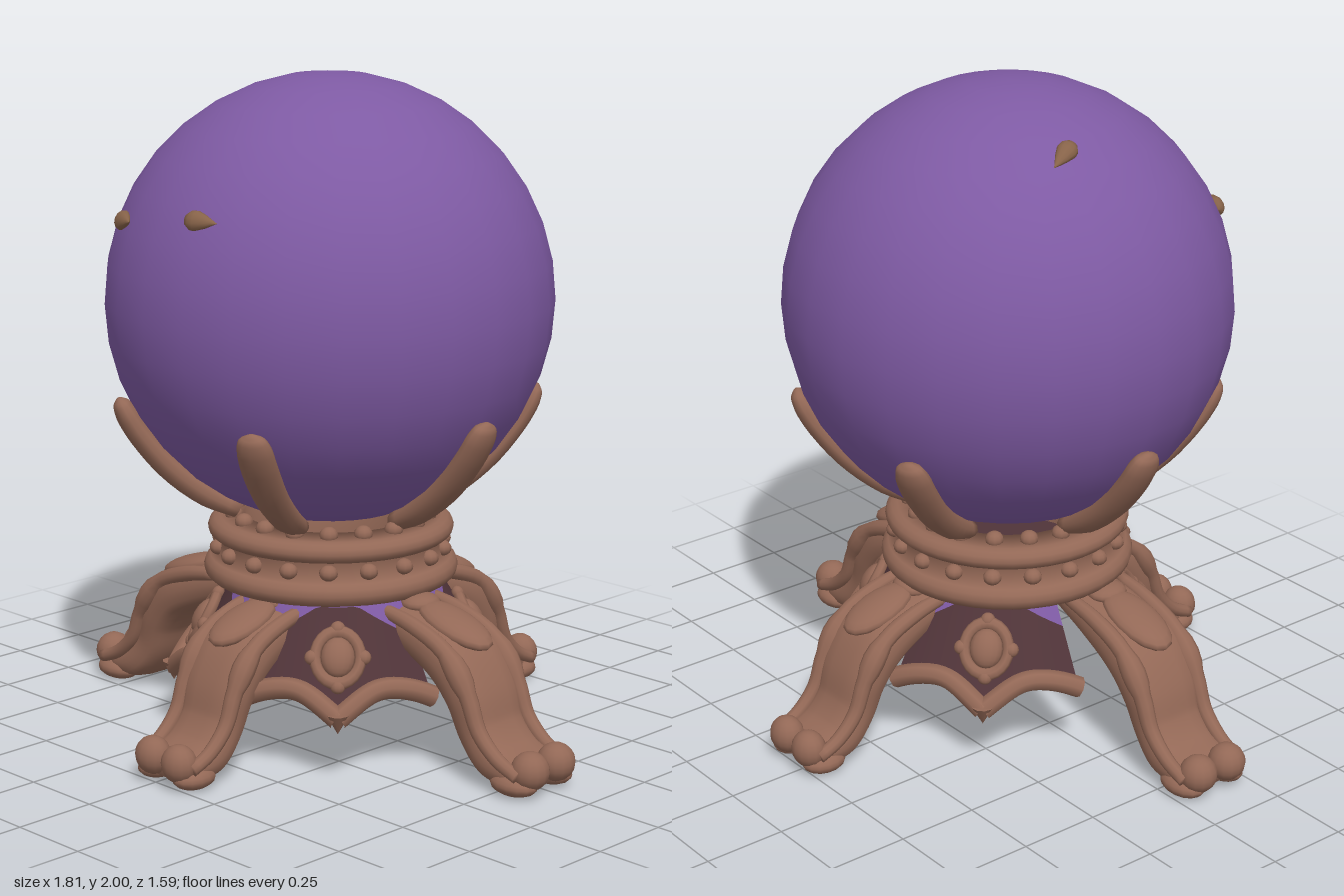
import * as THREE from 'three';

const mat = (name, color, side = THREE.FrontSide) => {
  const m = new THREE.MeshStandardMaterial({ color, side });
  m.name = name;
  return m;
};

// Swept oval bar in the r-y plane; points are [r, y, half width, half thickness]
function sweep(points, lateral = 0, rings = 24, sides = 14, power = 1) {
  const path = new THREE.CatmullRomCurve3(points.map(p => new THREE.Vector3(p[0], p[1], 0)));
  const size = new THREE.CatmullRomCurve3(points.map(p => new THREE.Vector3(p[2], p[3], 0)));
  const pos = [], idx = [];
  const round = v => Math.sign(v) * Math.abs(v) ** power;
  for (let i = 0; i <= rings; i++) {
    const c = path.getPoint(i / rings), t = path.getTangent(i / rings), s = size.getPoint(i / rings);
    for (let j = 0; j < sides; j++) {
      const a = j / sides * Math.PI * 2, h = s.y * round(Math.sin(a));
      pos.push(c.x - t.y * h, c.y + t.x * h, lateral + s.x * round(Math.cos(a)));
    }
  }
  for (let i = 0; i < rings; i++) for (let j = 0; j < sides; j++) {
    const k = (j + 1) % sides, a = i * sides + j, b = i * sides + k;
    idx.push(a, a + sides, b, b, a + sides, b + sides);
  }
  const first = path.getPoint(0), last = path.getPoint(1), n = pos.length / 3;
  pos.push(first.x, first.y, lateral, last.x, last.y, lateral);
  for (let j = 0; j < sides; j++) {
    const k = (j + 1) % sides;
    idx.push(n, j, k, n + 1, rings * sides + k, rings * sides + j);
  }
  const g = new THREE.BufferGeometry();
  g.setAttribute('position', new THREE.Float32BufferAttribute(pos, 3));
  g.setIndex(idx);
  g.computeVertexNormals();
  return g;
}

export function createModel() {
  const model = new THREE.Group();
  const purple = mat('globe purple', 0x7e5aa3, THREE.DoubleSide);
  const brown = mat('bronze brown', 0x936856);
  const dark = mat('dark panel brown', 0x503439, THREE.DoubleSide);
  const drop = mat('drop brown', 0x876349);

  const add = (parent, name, geo, material, x = 0, y = 0, z = 0) => {
    const m = new THREE.Mesh(geo, material);
    m.name = name;
    m.position.set(x, y, z);
    parent.add(m);
    return m;
  };
  const group = (name, x, y, z, angle = 0) => {
    const g = new THREE.Group();
    g.name = name;
    g.position.set(x, y, z);
    g.rotation.y = -angle;
    model.add(g);
    return g;
  };
  const rad = THREE.MathUtils.degToRad;

  // Globe
  const centre = new THREE.Vector3(-0.02, 1.33, 0.02), R = 0.67;
  add(model, 'globe', new THREE.SphereGeometry(R, 26, 18), purple, ...centre);

  // Teardrops lying on the globe: position and direction of the pointed tail
  const tear = new THREE.LatheGeometry([[0, -0.04], [0.018, -0.035], [0.029, -0.018], [0.03, 0], [0.02, 0.03],
    [0.009, 0.055], [0, 0.075]].map(p => new THREE.Vector2(...p)), 12);
  for (const [p, tail] of [
    [[-0.33, 1.59, 0.57], [1, 0.05, 0.4]],
    [[0.055, 1.64, 0.63], [1, 0, -0.1]],
    [[-0.385, 1.9, -0.065], [-0.4, -0.3, -0.9]]]) {
    const n = new THREE.Vector3(...p).sub(centre).normalize();
    const t = new THREE.Vector3(...tail);
    t.addScaledVector(n, -t.dot(n)).normalize();
    const m = add(model, 'teardrop', tear, drop);
    m.quaternion.setFromRotationMatrix(new THREE.Matrix4().makeBasis(t.clone().cross(n), t, n));
    m.scale.z = 0.75;
    m.position.copy(centre).addScaledVector(n, R);
  }

  // Claws hugging the globe
  const clawPoints = [[24, 0.04, 0.03], [33, 0.047, 0.04], [44, 0.052, 0.04], [55, 0.057, 0.037], [61, 0.055, 0.035],
    [64.5, 0.042, 0.026], [66, 0.012, 0.008]].map(([deg, w, t]) =>
    [0.695 * Math.sin(rad(deg)), -0.695 * Math.cos(rad(deg)), w, t]);
  const claw = sweep(clawPoints, 0, 20, 12);
  for (const deg of [0, 65, 124, 180, 245, 306])
    add(group('claw', ...centre, rad(deg)), 'clawFinger', claw, brown);

  // Collar with two rolled rims and beads
  const collar = group('collar', -0.015, 0, 0.02);
  const arc = (r, y, h, w) => Array.from({ length: 7 }, (_, i) => {
    const a = -Math.PI / 2 + i / 6 * Math.PI;
    return new THREE.Vector2(r + w * Math.cos(a), y + h * Math.sin(a));
  });
  const profile = [new THREE.Vector2(0.27, 0.47), ...arc(0.345, 0.513, 0.038, 0.04),
    ...arc(0.335, 0.635, 0.032, 0.037), new THREE.Vector2(0.26, 0.675), new THREE.Vector2(0.27, 0.47)];
  add(collar, 'collarBand', new THREE.LatheGeometry(profile, 40), brown);
  add(collar, 'collarFloor', new THREE.CircleGeometry(0.3, 32).rotateX(Math.PI / 2), dark, 0, 0.48, 0);
  const bead = new THREE.SphereGeometry(0.028, 10, 8);
  for (let i = 0; i < 18; i++) {
    const a = (i + 0.3) / 18 * Math.PI * 2, c = Math.cos(a), s = Math.sin(a);
    add(collar, 'sideBead', bead, brown, 0.342 * c, 0.575, 0.342 * s).scale.y = 0.85;
    add(collar, 'topBead', bead, brown, 0.295 * c, 0.677, 0.295 * s).scale.y = 0.9;
  }

  // Four curved legs with knee pads and two-toed feet
  const legPath = [[0.25, 0.43, 0.1, 0.05], [0.4, 0.39, 0.115, 0.065], [0.53, 0.335, 0.125, 0.075],
    [0.605, 0.245, 0.12, 0.07], [0.645, 0.15, 0.11, 0.065], [0.71, 0.082, 0.115, 0.06],
    [0.79, 0.06, 0.11, 0.045], [0.85, 0.055, 0.07, 0.03]];
  const legGeo = sweep(legPath, 0, 36, 18, 0.7);
  const edgePath = [[0.3, 0.455, 0.02, 0.02], [0.43, 0.43, 0.025, 0.025], [0.56, 0.375, 0.027, 0.027],
    [0.645, 0.27, 0.027, 0.027], [0.69, 0.17, 0.024, 0.024], [0.76, 0.105, 0.022, 0.022], [0.84, 0.07, 0.02, 0.02]];
  const toe = new THREE.SphereGeometry(0.057, 14, 10);
  for (const [name, x, z, deg, reach] of [
    ['leftLeg', 0, 0.02, 0, 1], ['rightLeg', -0.01, 0.12, 180, 1],
    ['frontLeg', 0.04, 0, 90, 0.88], ['backLeg', 0.03, 0, 270, 0.88]]) {
    const leg = group(name, x, 0, z, rad(deg));
    leg.scale.x = reach;
    add(leg, 'legBody', legGeo, brown);
    const pad = add(leg, 'kneePad', new THREE.SphereGeometry(1, 16, 10), brown, 0.5, 0.425, 0);
    pad.scale.set(0.14, 0.035, 0.075);
    pad.rotation.z = -0.3;
    add(leg, 'legCrown', toe, brown, 0.36, 0.465, 0).scale.set(1, 0.5, 1.1);
    for (const s of [-1, 1]) {
      add(leg, 'legEdge', sweep(edgePath, s * 0.105, 24, 10), brown);
      add(leg, 'toe', toe, brown, 0.845, 0.08, s * 0.056);
      add(leg, 'toePad', toe, brown, 0.8, 0.035, s * 0.075).scale.set(1.4, 0.6, 0.95);
    }
  }

  // Skirt between the legs: dark panels, purple corners, scalloped trim, medallions
  const radius = y => 0.32 + (0.47 - y) * 0.6;
  const place = (u, y, out = 0) => {
    const a = u * rad(36), r = radius(y) + out;
    return new THREE.Vector3(r * Math.cos(a), y, r * Math.sin(a));
  };
  const lower = u => {
    const v = Math.abs(u);
    return v < 0.5 ? 0.192 + 0.073 * Math.sin(v * Math.PI) : 0.265 - 0.16 * (v - 0.5) ** 2;
  };
  const split = u => 0.475 - 0.13 * Math.max(0, Math.abs(u) - 0.3);
  const panel = (from, to) => {
    const g = new THREE.PlaneGeometry(2, 1, 24, 4), p = g.attributes.position;
    for (let i = 0; i < p.count; i++) {
      const u = p.getX(i), v = p.getY(i) + 0.5;
      const q = place(-u, THREE.MathUtils.lerp(from(u), to(u), v));
      p.setXYZ(i, q.x, q.y, q.z);
    }
    g.computeVertexNormals();
    return g;
  };
  const darkPanel = panel(lower, split), purplePanel = panel(split, () => 0.48);
  const half = s => new THREE.TubeGeometry(new THREE.CatmullRomCurve3(
    Array.from({ length: 9 }, (_, i) => place(s * i / 8, lower(i / 8), 0.008))), 20, 0.032, 8);
  const trims = [half(-1), half(1)];
  for (const deg of [45, 135, 225, 315]) {
    const skirt = group('skirt', 0.025, 0, 0.03, rad(deg));
    add(skirt, 'skirtPanel', darkPanel, dark);
    add(skirt, 'skirtCorner', purplePanel, purple);
    trims.forEach(t => add(skirt, 'skirtTrim', t, brown));
    const point = add(skirt, 'trimPoint', new THREE.ConeGeometry(0.035, 0.06, 10), brown, 0.5, 0.18, 0);
    point.rotation.x = Math.PI;
    const medal = new THREE.Group();
    medal.name = 'medallion';
    medal.position.set(radius(0.35) + 0.012, 0.35, 0);
    medal.rotation.set(0, Math.PI / 2, 0);
    medal.rotateX(-0.5);
    skirt.add(medal);
    add(medal, 'medallionFrame', new THREE.TorusGeometry(0.066, 0.017, 8, 24), brown).scale.y = 1.15;
    add(medal, 'medallionBoss', new THREE.SphereGeometry(0.05, 16, 10), brown).scale.set(1, 1.2, 0.7);
    for (const [x, y] of [[0, 0.085], [0, -0.085], [0.075, 0], [-0.075, 0]])
      add(medal, 'medallionBud', bead, brown, x, y, 0).scale.set(0.8, 0.8, 0.7);
  }
  return model;
}
